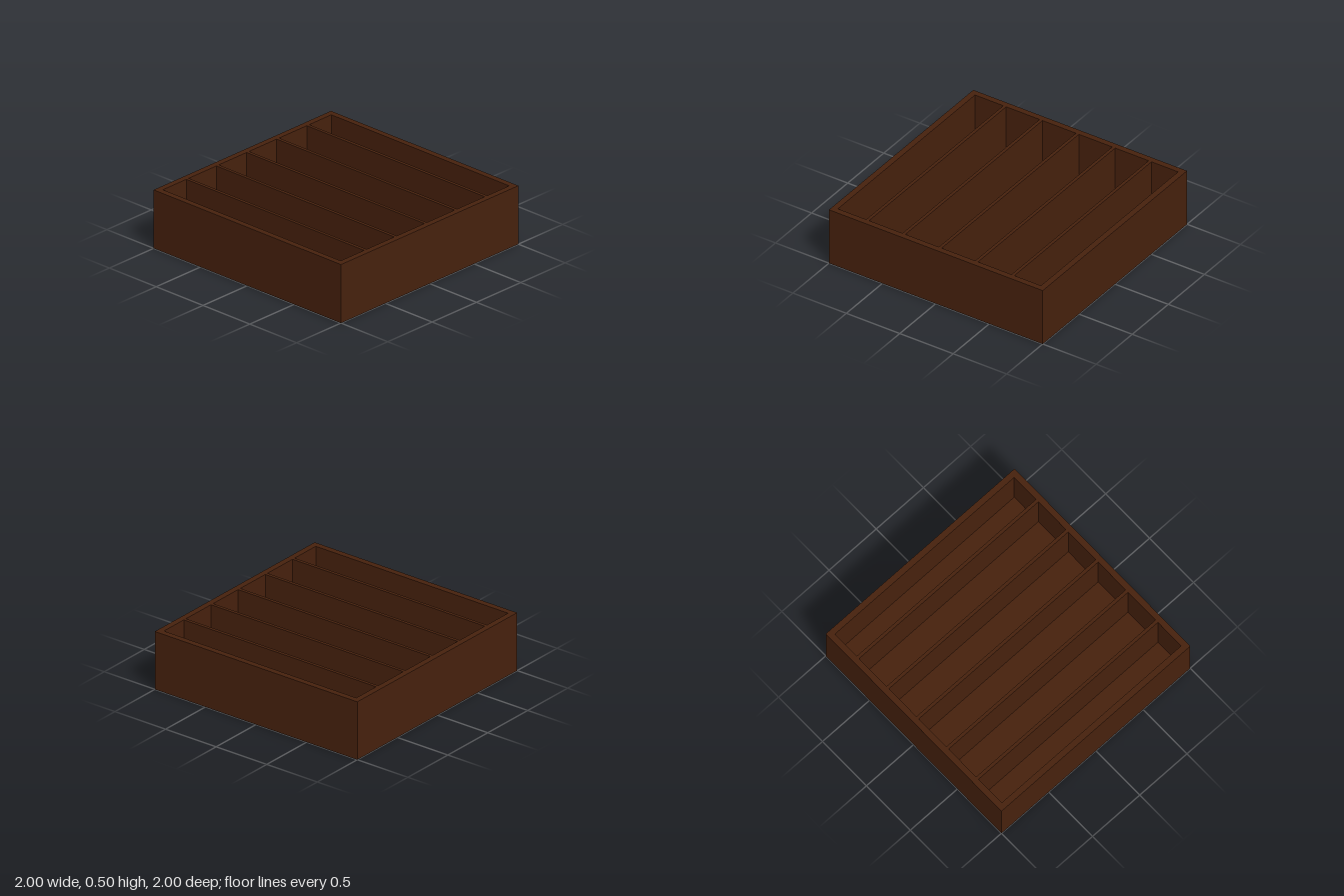
import * as THREE from 'three';

const SIZE = 2, HEIGHT = 0.5, WALL = 0.05, FLOOR = 0.05, DIVIDER = 0.027;

// Square outline centred on the origin
function square(PathType, half) {
  return new PathType([
    new THREE.Vector2(-half, -half), new THREE.Vector2(half, -half),
    new THREE.Vector2(half, half), new THREE.Vector2(-half, half),
  ]);
}

export function createModel() {
  const wood = new THREE.MeshStandardMaterial({ color: 0x47210d });
  wood.name = 'dark brown wood';

  const group = new THREE.Group();
  group.name = 'dividedTray';
  const add = (name, geometry, y, z) => {
    const mesh = new THREE.Mesh(geometry, wood);
    mesh.name = name;
    mesh.position.set(0, y, z);
    group.add(mesh);
  };

  const inner = SIZE - 2 * WALL;

  // Outer walls: one square frame
  const outline = square(THREE.Shape, SIZE / 2);
  outline.holes.push(square(THREE.Path, inner / 2));
  const frame = new THREE.ExtrudeGeometry(outline, { depth: HEIGHT, bevelEnabled: false });
  frame.rotateX(-Math.PI / 2);
  add('outerWalls', frame, 0, 0);

  // Floor set inside the walls
  add('floor', new THREE.BoxGeometry(inner, FLOOR, inner), FLOOR / 2, 0);

  // Five dividers, flush with the rim
  const depth = HEIGHT - FLOOR;
  for (let i = 0; i < 5; i++) {
    add(`divider${i + 1}`, new THREE.BoxGeometry(inner, depth, DIVIDER),
      FLOOR + depth / 2, -0.008 + (i - 2) * 0.34);
  }

  return group;
}
